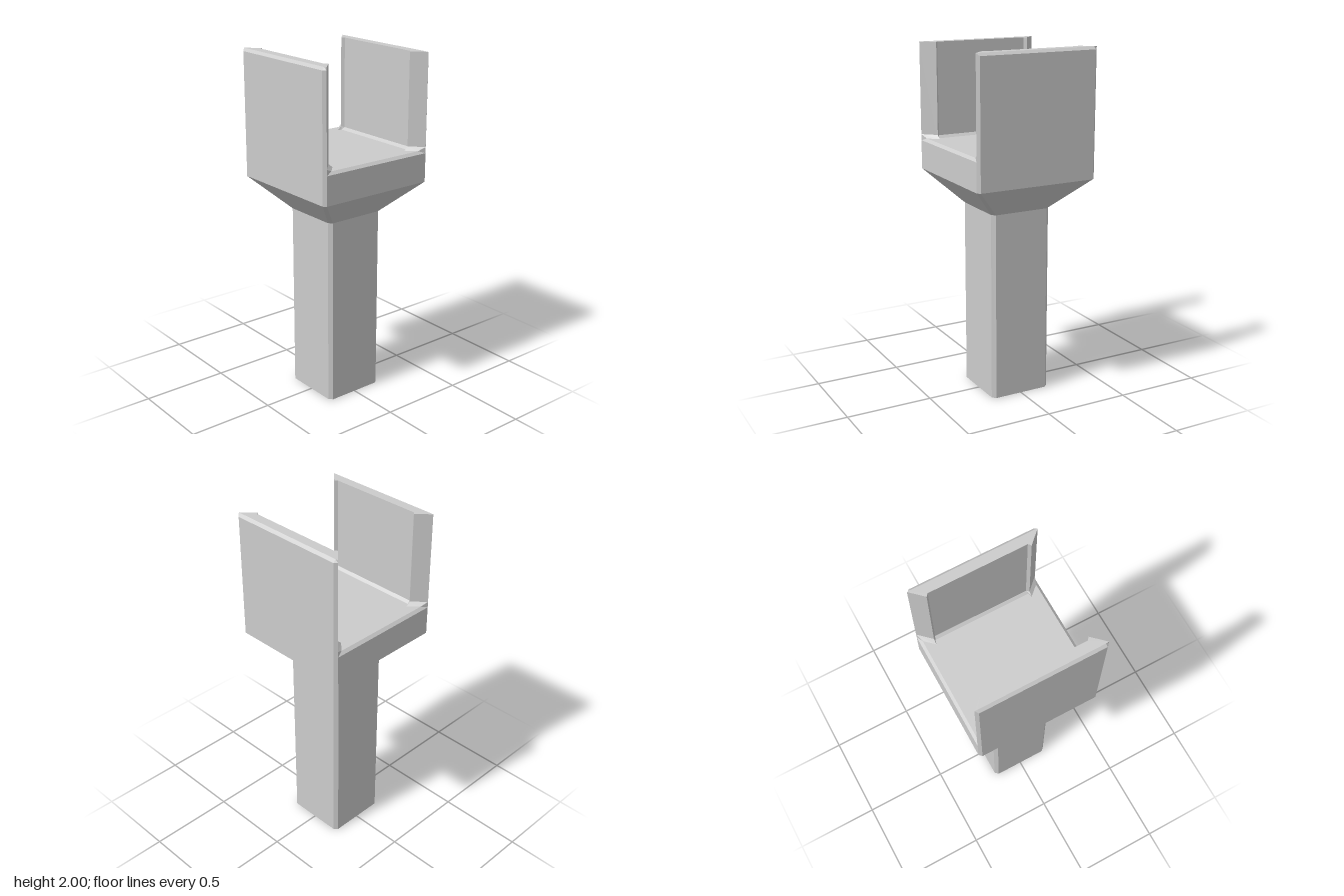
import * as THREE from 'three';

const material = new THREE.MeshStandardMaterial({ color: 0xcccccc, flatShading: true });

function makeMesh(name, triangles) {
  const geometry = new THREE.BufferGeometry();
  geometry.setAttribute('position', new THREE.Float32BufferAttribute(triangles.flat(2), 3));
  geometry.computeVertexNormals();
  const mesh = new THREE.Mesh(geometry, material);
  mesh.name = name;
  return mesh;
}

// Joins two rows of points with quads, facing the viewer when row runs left to right
function strip(lower, upper, closed) {
  const out = [];
  const n = lower.length;
  for (let i = 0; i < (closed ? n : n - 1); i++) {
    const j = (i + 1) % n;
    out.push([lower[i], lower[j], upper[i]], [lower[j], upper[j], upper[i]]);
  }
  return out;
}

// Flat cap over a ring, facing up or down
function cap(ring, up) {
  const flat = ring.map(([x, , z]) => new THREE.Vector2(x, z));
  return THREE.ShapeUtils.triangulateShape(flat, []).map(([i, j, k]) => {
    const [a, b, c] = [flat[i], flat[j], flat[k]];
    const facesDown = (b.x - a.x) * (c.y - a.y) - (b.y - a.y) * (c.x - a.x) > 0;
    return facesDown === up ? [ring[i], ring[k], ring[j]] : [ring[i], ring[j], ring[k]];
  });
}

// Solid from rings stacked bottom to top
function loft(rings) {
  const out = [...cap(rings[0], false), ...cap(rings[rings.length - 1], true)];
  for (let i = 0; i < rings.length - 1; i++) out.push(...strip(rings[i], rings[i + 1], true));
  return out;
}

// Square ring with cut corners
function square(y, h, c) {
  const k = h - c;
  return [[h, k], [k, h], [-k, h], [-h, k], [-h, -k], [-k, -h], [k, -h], [h, -k]]
    .map(([x, z]) => [x, y, z]).reverse();
}

// Mirrors a half row of points across x = 0
const mirrorRow = (row) => [...row, ...row.map(([x, y, z]) => [-x, y, z]).reverse()];

function createWall() {
  const wall = new THREE.Group();
  // Footprint: outer corners cut, ends mitred, inner corners cut
  const ring = (y, cornerX, outerZ) => {
    const outer = mirrorRow([[0.363, y, 0.347], [cornerX, y, outerZ]]);
    const inner = mirrorRow([[-0.291, y, 0.278], [-0.277, y, 0.293]]);
    return [...outer, ...inner].reverse();
  };
  wall.add(makeMesh('wallPanel', loft([
    ring(1.44, 0.347, 0.363), ring(1.985, 0.347, 0.363), ring(2, 0.345, 0.348),
  ])));
  // Sloped fillet where the wall meets the floor
  const top = mirrorRow([[0.363, 1.475, 0.347], [0.363, 1.475, 0.347], [0.291, 1.475, 0.278], [0.277, 1.47, 0.293]]);
  const foot = mirrorRow([[0.363, 1.44, 0.347], [0.347, 1.455, 0.305], [0.291, 1.455, 0.253], [0.284, 1.455, 0.278]]);
  wall.add(makeMesh('wallFillet', strip(foot, top, false)));
  return wall;
}

export function createModel() {
  const model = new THREE.Group();
  model.name = 'postBracket';

  // Square post, flared collar and bevelled seat
  model.add(makeMesh('post', loft([square(0, 0.182, 0.02), square(1.092, 0.182, 0.02)])));
  model.add(makeMesh('collar', loft([square(1.092, 0.182, 0.02), square(1.275, 0.363, 0.016)])));
  model.add(makeMesh('seat', loft([
    square(1.275, 0.363, 0.016), square(1.44, 0.363, 0.016), square(1.455, 0.347, 0.004),
  ])));

  // Upright walls, front and back
  ['frontWall', 'backWall'].forEach((name, i) => {
    const wall = createWall();
    wall.name = name;
    wall.rotation.y = i * Math.PI;
    model.add(wall);
  });
  return model;
}
